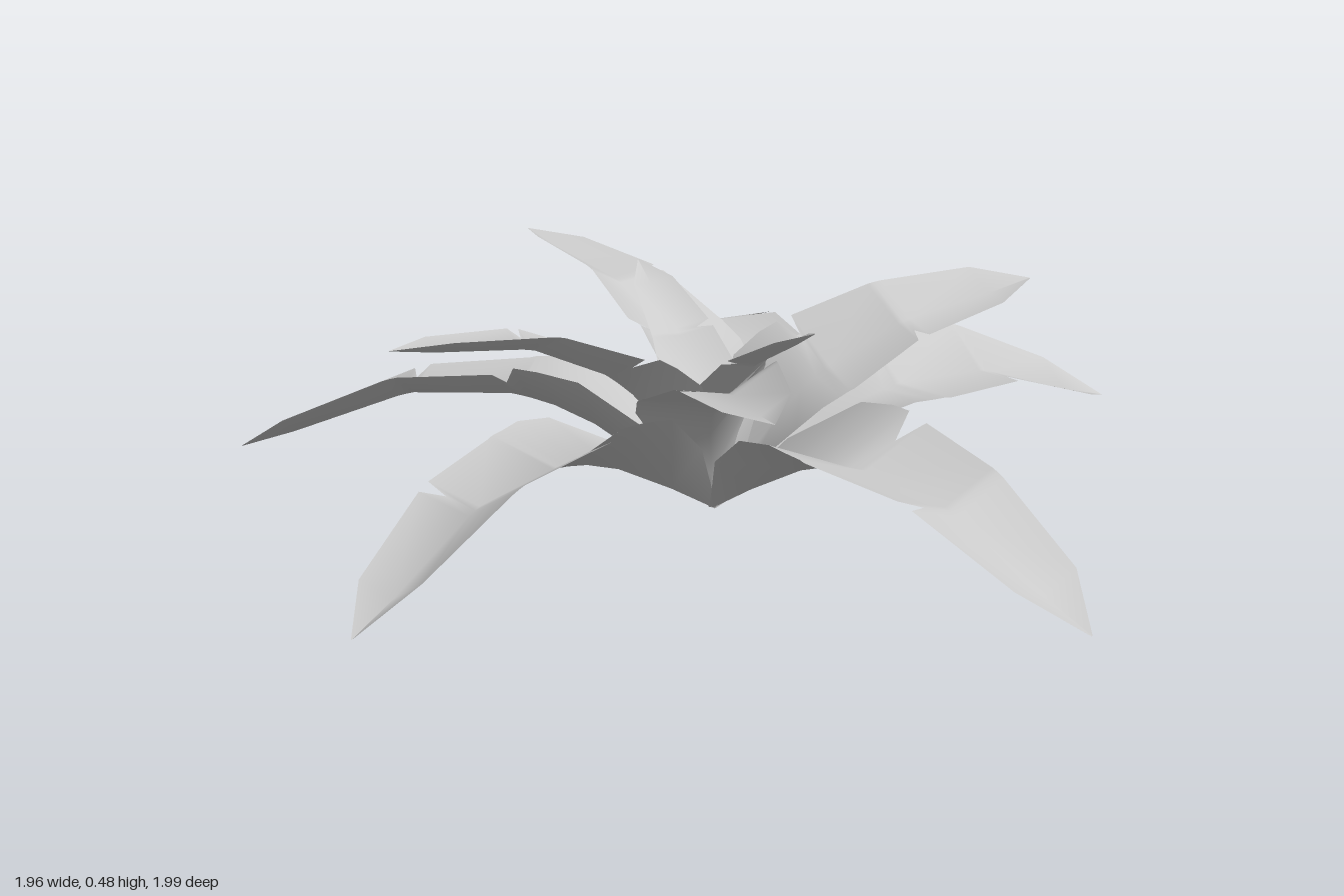
import * as THREE from 'three';

// Leaf cross-sections from base to tip:
// [distance, rib height, left half-width, right half-width, left lift, right lift]
// The sudden narrowings are the torn notches, one on each side.
const SECTIONS = [
  [0.00, 0.000, 0.010, 0.010, 0.005, 0.005],
  [0.12, 0.078, 0.105, 0.105, 0.090, 0.090],
  [0.27, 0.165, 0.175, 0.175, 0.110, 0.110],
  [0.36, 0.200, 0.178, 0.178, 0.092, 0.092],
  [0.415, 0.213, 0.170, 0.175, 0.083, 0.073],
  [0.445, 0.218, 0.100, 0.174, 0.038, 0.066],
  [0.46, 0.220, 0.175, 0.173, 0.060, 0.060],
  [0.68, 0.207, 0.138, 0.135, 0.048, 0.048],
  [0.695, 0.203, 0.136, 0.075, 0.048, 0.027],
  [0.715, 0.197, 0.133, 0.130, 0.047, 0.047],
  [0.95, 0.102, 0.090, 0.088, 0.035, 0.035],
  [1.072, 0.060, 0.002, 0.002, 0.001, 0.001],
];

// Folded blade growing along +z, with the rib as the low line of the fold
function leafGeometry() {
  const positions = [], index = [];
  SECTIONS.forEach(([d, h, left, right, leftLift, rightLift], i) => {
    positions.push(left, h + leftLift, d, 0, h, d, -right, h + rightLift, d);
    if (i === 0) return;
    for (let k = 0; k < 2; k++) {
      const a = (i - 1) * 3 + k, b = a + 1, c = a + 3, e = b + 3;
      index.push(a, c, b, b, c, e);
    }
  });
  const geometry = new THREE.BufferGeometry();
  geometry.setAttribute('position', new THREE.Float32BufferAttribute(positions, 3));
  geometry.setIndex(index);
  geometry.computeVertexNormals();
  return geometry;
}

// Whorls of leaves: scale, upward tilt, and each leaf's [x heading, z heading, roll]
const WHORLS = [
  { name: 'outerLeaf', scale: 1, tilt: 0,
    leaves: [[-0.32, -1.03, 0.22], [0.74, -0.78, 0.22], [0.89, 0.60, 0], [-0.46, 0.97, 0.22], [-1.07, 0.06, 0.22]] },
  { name: 'middleLeaf', scale: 0.795, tilt: 0.51,
    leaves: [[-0.57, -0.46, 0.24], [0.61, -0.39, 0.36], [0.29, 0.66, 0.22], [-0.56, 0.45, 0.22]] },
  { name: 'innerLeaf', scale: 0.535, tilt: 0.93,
    leaves: [[-0.21, -0.21, -0.08], [0.25, 0.18, 0]] },
];

export function createModel() {
  const plant = new THREE.Group();
  plant.name = 'leafRosette';
  const geometry = leafGeometry();
  const material = new THREE.MeshStandardMaterial({ color: 0xcccccc, side: THREE.DoubleSide });

  for (const { name, scale, tilt, leaves } of WHORLS) {
    leaves.forEach(([x, z, roll], i) => {
      const leaf = new THREE.Mesh(geometry, material);
      leaf.name = `${name}${i + 1}`;
      leaf.position.set(0.09, 0, 0.03);
      leaf.rotation.set(-tilt, Math.atan2(x, z), roll, 'YXZ');
      leaf.scale.setScalar(scale);
      plant.add(leaf);
    });
  }
  return plant;
}
